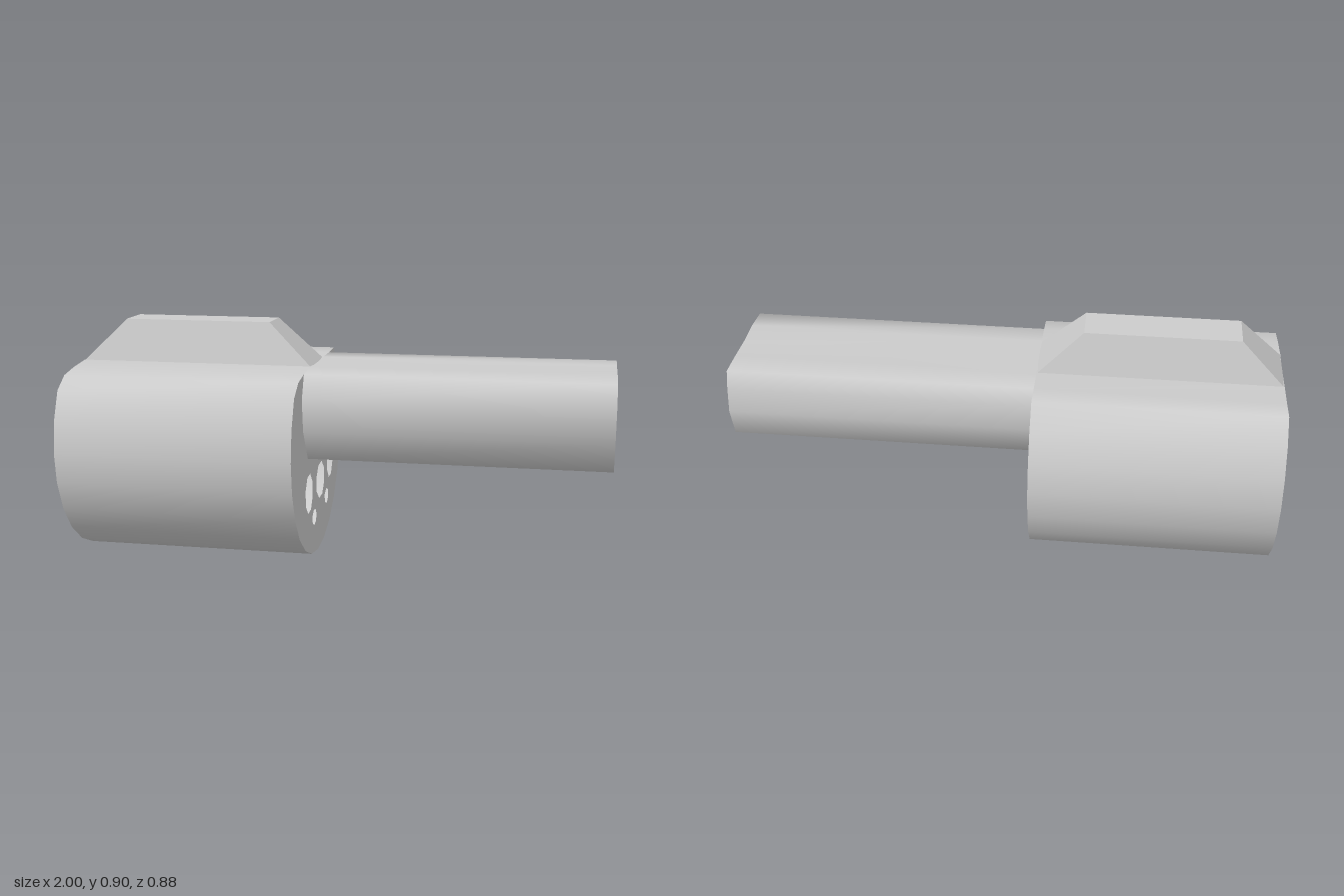
import * as THREE from 'three';

const BACK = -1, STEP = -0.115, TIP = 1;

// Body section [z, y]: a 24-sided circle with a flattened top.
const body = [];
for (let i = 0; i <= 16; i++) {
  const a = THREE.MathUtils.degToRad(30 - i * 15);
  body.push([0.442 * Math.cos(a), 0.445 + 0.445 * Math.sin(a)]);
}
body.push([-0.315, 0.75], [-0.225, 0.744], [-0.115, 0.742], [0, 0.736],
  [0.115, 0.74], [0.225, 0.729], [0.315, 0.713]);

// Barrel section and the opening in its tip.
const barrel = [[0.225, 0.729], [0.262, 0.64], [0.245, 0.52], [0.17, 0.402], [0.045, 0.383],
  [-0.115, 0.41], [-0.222, 0.475], [-0.256, 0.59], [-0.242, 0.68], [-0.222, 0.744],
  [-0.115, 0.742], [0, 0.736], [0.115, 0.74]];
const mouth = [[0.118, 0.653], [0, 0.661], [-0.132, 0.662], [-0.142, 0.59], [-0.12, 0.525],
  [-0.085, 0.497], [0.035, 0.483], [0.08, 0.5], [0.118, 0.56]];

// Vents in the front plate: z, y, half width, half height, sides.
const vents = [[0.15, 0.262, 0.064, 0.077, 8], [-0.05, 0.268, 0.076, 0.073, 8],
  [-0.228, 0.31, 0.057, 0.075, 8], [0.06, 0.147, 0.037, 0.032, 7], [-0.163, 0.173, 0.037, 0.032, 6]];

const ventOutline = ([z, y, w, h, n]) => Array.from({ length: n }, (_, i) => {
  const a = (i + 0.4) / n * Math.PI * 2;
  return [z + w * Math.cos(a), y + h * Math.sin(a)];
});

// Smooth wall following a closed section between two x positions.
function wall(section, x0, x1) {
  const pos = [], index = [], n = section.length;
  for (const x of [x0, x1]) for (const [z, y] of section) pos.push(x, y, z);
  for (let i = 0; i < n; i++) {
    const j = (i + 1) % n;
    index.push(i, j, n + i, j, n + j, n + i);
  }
  const g = new THREE.BufferGeometry();
  g.setAttribute('position', new THREE.Float32BufferAttribute(pos, 3));
  g.setIndex(index);
  g.computeVertexNormals();
  return g;
}

// Flat plate across a section, facing +x or -x, with optional openings.
function plate(section, x, holes = [], facing = 1) {
  const to2D = (pts) => pts.map(([z, y]) => new THREE.Vector2(-z * facing, y));
  const shape = new THREE.Shape(to2D(section));
  shape.holes = holes.map((h) => new THREE.Path(to2D(h)));
  return new THREE.ShapeGeometry(shape).rotateY(facing * Math.PI / 2).translate(x, 0, 0);
}

// Ridge: a box tapered towards the top on all four sides.
function ridgeGeometry() {
  const g = new THREE.BoxGeometry(1, 1, 1), p = g.attributes.position;
  for (let i = 0; i < p.count; i++) {
    const top = p.getY(i) > 0, front = p.getX(i) > 0, side = Math.sign(p.getZ(i));
    p.setXYZ(i, top ? (front ? -0.28 : -0.84) : (front ? STEP : BACK),
      top ? 0.896 : 0.738, side * (top ? 0.073 : 0.112));
  }
  g.computeVertexNormals();
  return g;
}

export function createModel() {
  const model = new THREE.Group();
  const material = new THREE.MeshStandardMaterial({ color: 0xcccccc, side: THREE.DoubleSide });
  const add = (name, geometry) => {
    const mesh = new THREE.Mesh(geometry, material);
    mesh.name = name;
    model.add(mesh);
  };

  // Hollow body
  add('bodyWall', wall(body, BACK, STEP));
  add('bodyBackPlate', plate(body, BACK, [], -1));
  add('bodyVentPlate', plate(body, STEP, vents.map(ventOutline)));

  // Ridge on top of the body
  add('topRidge', ridgeGeometry());

  // Hollow barrel
  add('barrelWall', wall(barrel, STEP, TIP));
  add('barrelTipPlate', plate(barrel, TIP, [mouth]));

  return model;
}
